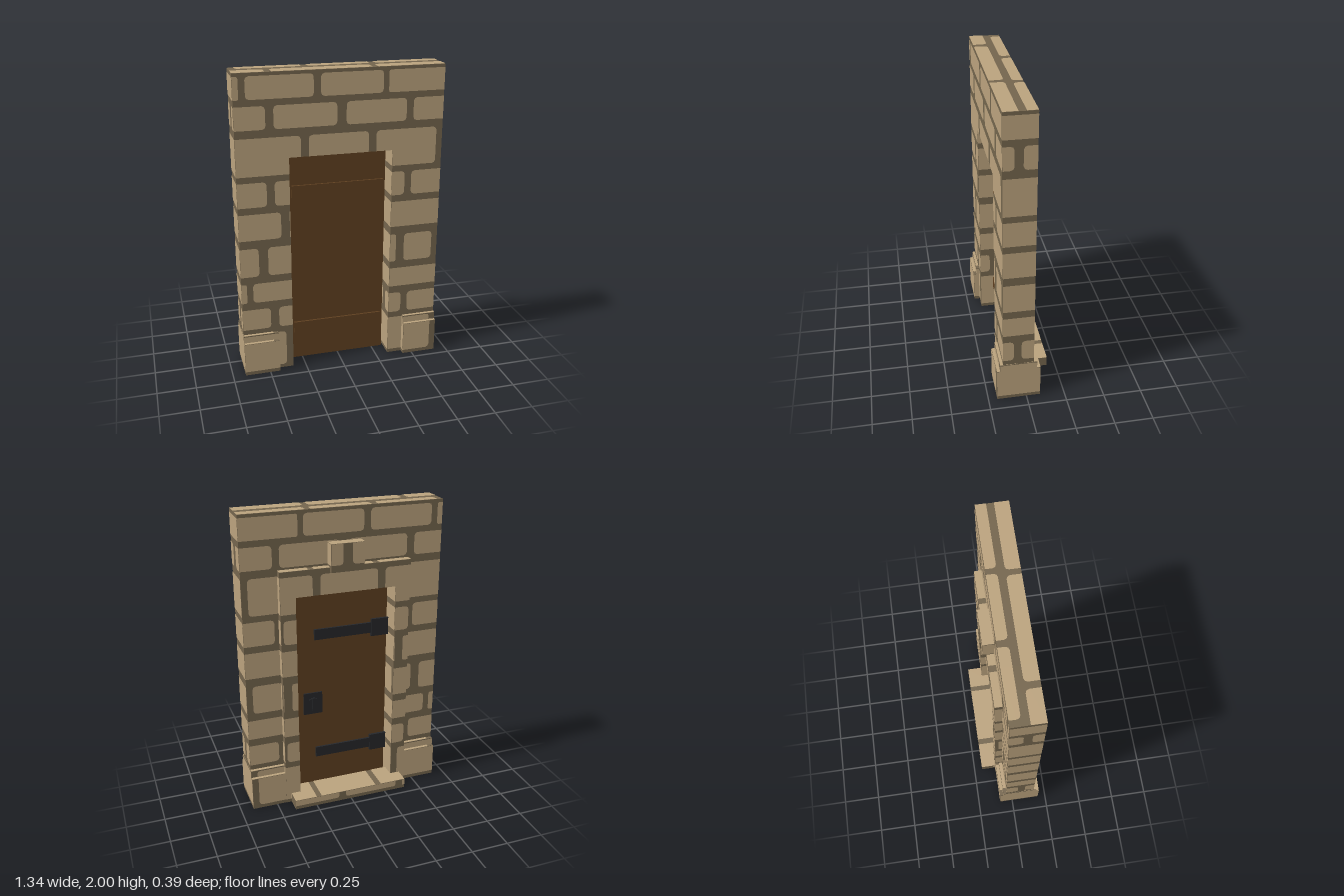
import * as THREE from 'three';
import { mergeGeometries } from 'three/addons/utils/BufferGeometryUtils.js';

const mat = (name, color) => {
  const m = new THREE.MeshStandardMaterial({ color });
  m.name = name;
  return m;
};

// Masonry courses: height range, stones along x, stones along z
const W = 0.7, D = 0.3;
const COURSES = [
  { y: [1.84, 1.98], x: [[-W, -0.63], [-0.59, -0.175], [-0.13, 0.265], [0.3, W]], z: [[-D, D]] },
  { y: [1.655, 1.8], x: [[-W, -0.475], [-0.425, -0.03], [0.03, 0.42], [0.465, W]], z: [[-D, 0.035], [0.085, D]] },
  { y: [1.365, 1.605], x: [[-W, -0.26], [-0.21, 0.175], [0.225, 0.625]], z: [[-D, D]] },
  { y: [1.165, 1.325], x: [[-W, -0.48], [-0.43, 0.42], [0.465, W]], z: [[-D, D]] },
  { y: [0.945, 1.12], x: [[-W, -0.395], [-0.34, 0.2], [0.25, W]], z: [[-D, D]] },
  { y: [0.695, 0.89], x: [[-W, -0.545], [-0.485, 0.375], [0.43, 0.625]], z: [[-0.07, D]] },
  { y: [0.51, 0.645], x: [[-W, -0.63], [-0.59, 0.2], [0.25, W]], z: [[-D, D]] },
  { y: [0.315, 0.46], x: [[-W, -0.48], [-0.425, 0.42], [0.465, W]], z: [[-D, 0.035], [0.085, D]] },
  { y: [0.025, 0.275], x: [[-W, -0.38], [-0.33, 0.04], [0.09, 0.625]], z: [[-0.11, D]] },
];
// Stones seen on level faces
const BEDS = [
  { v: [-D, 0.02], x: [[-0.625, -0.22], [-0.18, 0.215], [0.25, W]] },
  { v: [0.065, D], x: [[-W, -0.47], [-0.43, 0.195], [0.23, W]] },
];
const STONES = {
  x: COURSES.flatMap(c => c.z.map(u => [u, c.y])),
  y: BEDS.flatMap(b => b.x.map(u => [u, b.v])),
  z: COURSES.flatMap(c => c.x.map(u => [u, c.y])),
};

// Face directions: axis, sign, turn of a flat shape, and signs of its local axes
const FACES = [
  { axis: 'z', s: 1, turn: [0, 0], su: 1, sv: 1 },
  { axis: 'z', s: -1, turn: [0, Math.PI], su: -1, sv: 1 },
  { axis: 'x', s: 1, turn: [0, Math.PI / 2], su: -1, sv: 1 },
  { axis: 'x', s: -1, turn: [0, -Math.PI / 2], su: 1, sv: 1 },
  { axis: 'y', s: 1, turn: [-Math.PI / 2, 0], su: 1, sv: -1 },
  { axis: 'y', s: -1, turn: [Math.PI / 2, 0], su: 1, sv: 1 },
];
const UV = { x: ['z', 'y'], y: ['x', 'z'], z: ['x', 'y'] };

// One stone outline clipped to a face; corners are rounded unless cut by the face edge
function stoneOutline([u, v], fu, fv, su, sv) {
  const a = [Math.max(u[0], fu[0]), Math.min(u[1], fu[1])];
  const b = [Math.max(v[0], fv[0]), Math.min(v[1], fv[1])];
  const w = a[1] - a[0], h = b[1] - b[0];
  if (w < 0.004 || h < 0.004) return null;
  const r = Math.min(0.022, w / 3, h / 3), pts = [];
  for (const [i, j] of [[0, 0], [1, 0], [1, 1], [0, 1]]) {
    const x = a[i], y = b[j];
    if (u[i] !== x || v[j] !== y) { pts.push([x, y]); continue; }
    const dx = i ? -r : r, dy = j ? -r : r;
    const c = [[x, y + dy], [x + dx * 0.3, y + dy * 0.3], [x + dx, y]];
    pts.push(...(i === j ? c : c.reverse()));
  }
  return new THREE.Shape(pts.map(p => new THREE.Vector2(p[0] * su, p[1] * sv)));
}

export function createModel() {
  const stone = mat('sandstone', 0xbaa27d);
  const mortar = mat('mortar', 0x74654d);
  const wood = mat('doorWood', 0x5e3f20);
  const iron = mat('blackIron', 0x26272a);
  const model = new THREE.Group();
  model.name = 'stoneDoorway';

  function box(name, x, y, z, material, parent = model) {
    const g = new THREE.BoxGeometry(x[1] - x[0], y[1] - y[0], z[1] - z[0]);
    g.translate((x[0] + x[1]) / 2, (y[0] + y[1]) / 2, (z[0] + z[1]) / 2);
    const m = new THREE.Mesh(g, material);
    m.name = name;
    parent.add(m);
  }

  // Mortar block with stone faces on every side
  function masonry(name, x, y, z) {
    const group = new THREE.Group(), b = { x, y, z }, plates = [];
    group.name = name;
    box(name + 'Mortar', x, y, z, mortar, group);
    for (const { axis, s, turn, su, sv } of FACES) {
      const [ua, va] = UV[axis];
      for (const st of STONES[axis]) {
        const outline = stoneOutline(st, b[ua], b[va], su, sv);
        if (!outline) continue;
        const g = new THREE.ShapeGeometry(outline);
        g.rotateX(turn[0]).rotateY(turn[1]);
        const d = b[axis][s > 0 ? 1 : 0] + s * 0.002;
        g.translate(axis === 'x' ? d : 0, axis === 'y' ? d : 0, axis === 'z' ? d : 0);
        plates.push(g);
      }
    }
    if (plates.length) {
      const m = new THREE.Mesh(mergeGeometries(plates), stone);
      m.name = name + 'Stones';
      group.add(m);
    }
    model.add(group);
  }

  // Wall, door surround and stepped plinths, mirrored left and right
  for (const [side, s] of [['left', 1], ['right', -1]]) {
    const span = (a, b) => (s > 0 ? [a, b] : [-b, -a]);
    masonry(side + 'Pier', span(0.335, 0.665), [0, 2], [-0.045, 0.153]);
    masonry(side + 'Jamb', span(0.335, 0.435), [0, 1.64], [-0.092, -0.045]);
    masonry(side + 'Plinth', span(0.435, 0.667), [0, 0.23], [-0.09, 0.193]);
    masonry(side + 'PlinthCap', span(0.435, 0.667), [0.23, 0.28], [-0.067, 0.172]);
  }
  masonry('wallHead', [-0.335, 0.335], [1.47, 2], [-0.045, 0.153]);
  masonry('lintel', [-0.335, 0.335], [1.47, 1.64], [-0.092, -0.045]);
  masonry('keystone', [-0.11, 0.11], [1.61, 1.79], [-0.113, -0.045]);
  masonry('doorStep', [-0.4, 0.4], [0, 0.066], [-0.193, 0]);

  // Door leaf with two rails on the front
  box('doorLeaf', [-0.32, 0.32], [0.004, 1.44], [0.01, 0.055], wood);
  for (const y of [0.2, 1.175]) box('doorRail', [-0.305, 0.305], [y, y + 0.08], [0.055, 0.068], wood);

  // Strap hinges on the back
  for (const y of [0.3, 1.17]) {
    box('hingeStrap', [-0.22, 0.19], [y - 0.036, y + 0.036], [-0.004, 0.01], iron);
    box('hingePlate', [-0.325, -0.205], [y - 0.06, y + 0.06], [-0.008, 0.01], iron);
  }

  // Lock plate with a pull handle
  box('lockPlate', [0.14, 0.27], [0.6, 0.755], [0, 0.01], iron);
  box('handleBar', [0.195, 0.215], [0.635, 0.725], [-0.02, -0.01], iron);
  for (const y of [0.64, 0.705]) box('handlePost', [0.195, 0.215], [y, y + 0.015], [-0.012, 0], iron);
  box('latch', [0.18, 0.23], [0.7, 0.715], [-0.008, 0], iron);
  return model;
}
